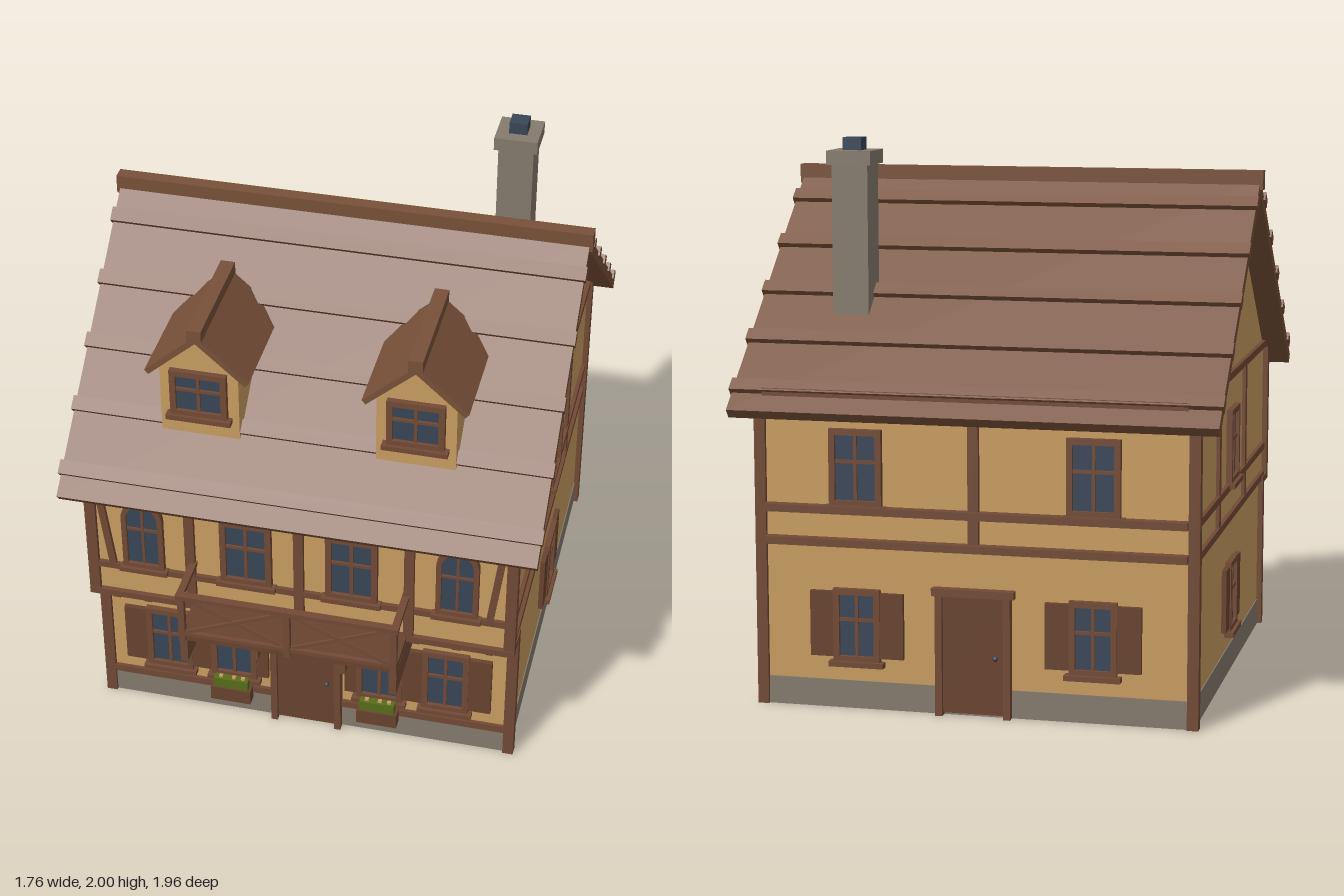
import * as THREE from 'three';

const mat = (name, color, side = THREE.FrontSide) => {
  const m = new THREE.MeshStandardMaterial({ color, side });
  m.name = name;
  return m;
};

export function createModel() {
  const M = {
    plaster: mat('plaster', 0xc89d60),
    timber: mat('timber', 0x724a35),
    roof: mat('roof wood', 0x785039),
    panel: mat('panel wood', 0x69432f),
    stone: mat('stone', 0x857b6d),
    glass: mat('slate glass', 0x394657),
    leaf: mat('leaf', 0x586c1c),
  };
  const root = new THREE.Group();
  root.name = 'house';

  const mesh = (parent, name, geo, m) => {
    const o = new THREE.Mesh(geo, m);
    o.name = name;
    parent.add(o);
    return o;
  };
  // box given by its min and max on every axis
  const box = (p, name, m, x0, x1, y0, y1, z0, z1) => {
    const o = mesh(p, name, new THREE.BoxGeometry(x1 - x0, y1 - y0, z1 - z0), m);
    o.position.set((x0 + x1) / 2, (y0 + y1) / 2, (z0 + z1) / 2);
    return o;
  };
  // slanted timber in a plane facing z
  const bar = (p, name, m, ax, ay, bx, by, w, z0, z1) => {
    const o = box(p, name, m, 0, Math.hypot(bx - ax, by - ay), -w / 2, w / 2, z0, z1);
    o.position.set((ax + bx) / 2, (ay + by) / 2, (z0 + z1) / 2);
    o.rotation.z = Math.atan2(by - ay, bx - ax);
    return o;
  };
  const group = (name, x, y, z, ry = 0, parent = root) => {
    const g = new THREE.Group();
    g.name = name;
    g.position.set(x, y, z);
    g.rotation.y = ry;
    parent.add(g);
    return g;
  };
  const poly = (pts) => new THREE.Shape(pts.map(([x, y]) => new THREE.Vector2(x, y)));
  const extrude = (shape, depth) => new THREE.ExtrudeGeometry(shape, { depth, bevelEnabled: false, curveSegments: 8 });

  // window with frame, glazing bars, sill and optional shutters [left width, right width]
  const windowAt = (x, y, z, ry, w, h, shutters, parent = root) => {
    const g = group('window', x, y, z, ry, parent), t = 0.022, a = w / 2;
    box(g, 'glass', M.glass, -a + t, a - t, t, h - t, 0, 0.008);
    for (const s of [-1, 1]) {
      const c = s * (a - t / 2);
      box(g, 'frameSide', M.timber, c - t / 2, c + t / 2, 0, h, 0, 0.022);
    }
    box(g, 'frameTop', M.timber, -a, a, h - t, h, 0, 0.022);
    box(g, 'frameBottom', M.timber, -a, a, 0, t, 0, 0.022);
    box(g, 'mullion', M.timber, -0.006, 0.006, t, h - t, 0, 0.016);
    box(g, 'glazingBar', M.timber, -a + t, a - t, h * 0.58 - 0.006, h * 0.58 + 0.006, 0, 0.016);
    box(g, 'sill', M.timber, -a - 0.015, a + 0.015, -0.015, 0.004, 0, 0.035);
    if (shutters) {
      box(g, 'shutter', M.panel, -a - shutters[0], -a, 0.018, h - 0.012, 0, 0.018);
      box(g, 'shutter', M.panel, a, a + shutters[1], 0.018, h - 0.012, 0, 0.018);
    }
    return g;
  };

  const archShape = (a, top, bottom) => {
    const s = new THREE.Shape();
    s.moveTo(-a, bottom);
    s.lineTo(a, bottom);
    s.lineTo(a, top - a);
    s.absarc(0, top - a, a, 0, Math.PI, false);
    s.closePath();
    return s;
  };
  const archWindow = (x, y, z) => {
    const g = group('archedWindow', x, y, z), frame = archShape(0.077, 0.305, 0);
    frame.holes.push(archShape(0.058, 0.285, 0.02));
    mesh(g, 'frame', extrude(frame, 0.022), M.timber);
    mesh(g, 'glass', extrude(archShape(0.058, 0.285, 0.02), 0.008), M.glass);
    box(g, 'mullion', M.timber, -0.005, 0.005, 0.02, 0.285, 0, 0.014);
    box(g, 'glazingBar', M.timber, -0.058, 0.058, 0.17, 0.181, 0, 0.014);
    box(g, 'sill', M.timber, -0.09, 0.09, -0.015, 0.004, 0, 0.035);
  };

  const door = (z, ry) => {
    const g = group('door', 0, 0, z, ry);
    box(g, 'doorLeaf', M.panel, -0.11, 0.11, 0.01, 0.43, 0, 0.018);
    for (const s of [-1, 1]) box(g, 'doorPost', M.timber, s * 0.1225 - 0.0125, s * 0.1225 + 0.0125, 0, 0.435, 0, 0.035);
    box(g, 'lintel', M.timber, -0.148, 0.148, 0.43, 0.457, 0, 0.035);
    const knob = mesh(g, 'knob', new THREE.SphereGeometry(0.01, 8, 6), M.glass);
    knob.position.set(0.08, 0.215, 0.024);
  };

  // lower storey shell, open underneath
  const X = 0.775, ZL = 0.68, ZU = 0.775, ZB = -0.88, T = 0.04;
  for (const s of [-1, 1]) {
    box(root, 'sideWall', M.plaster, s * (X - T / 2) - T / 2, s * (X - T / 2) + T / 2, 0, 0.6, ZB, ZL);
    box(root, 'sidePlinth', M.stone, s * X - 0.004, s * X + 0.004, 0, 0.1, ZB, ZL);
  }
  box(root, 'frontWall', M.plaster, -X + T, X - T, 0, 0.6, ZL - T, ZL);
  box(root, 'backWall', M.plaster, -X + T, X - T, 0, 0.6, ZB, ZB + T);
  for (const z of [ZL, ZB]) box(root, 'plinth', M.stone, -X, X, 0, 0.1, z - 0.004, z + 0.004);
  box(root, 'floor', M.stone, -X + T, X - T, 0.12, 0.14, ZB + T, ZL - T);

  // upper storey and gables as one section along x
  const upper = extrude(poly([[ZB, 0.59], [ZU, 0.59], [ZU, 1.11], [-0.055, 1.8], [ZB, 1.11]]), 2 * X);
  upper.translate(0, 0, -X);
  upper.rotateY(-Math.PI / 2);
  mesh(root, 'upperStorey', upper, M.plaster);

  // timber frame: corners and sides
  for (const s of [-1, 1]) {
    const post = (y0, y1, z0, z1) => box(root, 'cornerPost', M.timber, s * 0.775 - 0.02, s * 0.775 + 0.02, y0, y1, z0, z1);
    post(0, 0.6, 0.655, 0.695);
    post(0.575, 1.12, 0.75, 0.792);
    post(0, 1.12, -0.895, -0.855);
    for (const y of [0.588, 0.705, 1.117]) box(root, 'sideBeam', M.timber, s * X - 0.015, s * X + 0.015, y, y + 0.027, -0.83, 0.725);
    for (const z of [0.209, -0.411]) box(root, 'sidePost', M.timber, s * X - 0.013, s * X + 0.013, 0.6, 1.13, z - 0.019, z + 0.019);
    windowAt(s * X, 0.73, -0.1, s * Math.PI / 2, 0.19, 0.275);
    windowAt(s * X, 0.17, -0.1, s * Math.PI / 2, 0.17, 0.265, [0.085, 0.085]);
  }

  // back
  for (const y of [0.588, 0.705, 1.117]) box(root, 'backBeam', M.timber, -0.755, 0.755, y, y + 0.027, -0.92, ZB);
  box(root, 'backPost', M.timber, -0.019, 0.019, 0.6, 1.13, -0.9, ZB);
  door(ZB, Math.PI);
  for (const s of [-1, 1]) {
    windowAt(s * 0.425, 0.73, ZB, Math.PI, 0.19, 0.275);
    windowAt(s * 0.425, 0.17, ZB, Math.PI, 0.17, 0.265, [0.085, 0.085]);
  }

  // front
  door(ZL, 0);
  box(root, 'jettyBeam', M.timber, -0.795, 0.795, 0.575, 0.6, 0.67, 0.795);
  box(root, 'frontRail', M.timber, -0.755, 0.755, 0.705, 0.73, ZU, 0.79);
  box(root, 'wallPlate', M.timber, -0.755, 0.755, 1.06, 1.1, ZU, 0.79);
  for (const x of [-0.405, 0, 0.405]) box(root, 'frontPost', M.timber, x - 0.018, x + 0.018, 0.6, 1.1, ZU, 0.793);
  for (const s of [-1, 1]) {
    box(root, 'groundBeam', M.timber, s * 0.445 - 0.31, s * 0.445 + 0.31, 0.1, 0.13, ZL, 0.693);
    for (const x of [0.14, 0.27, 0.43, 0.58, 0.7]) box(root, 'joistEnd', M.timber, s * x - 0.014, s * x + 0.014, 0.553, 0.576, ZL, 0.775);
    bar(root, 'brace', M.timber, s * 0.7, 0.73, s * 0.742, 1.06, 0.026, ZU, 0.79);
    archWindow(s * 0.58, 0.73, ZU);
    windowAt(s * 0.195, 0.73, ZU, 0, 0.19, 0.28);
    windowAt(s * 0.53, 0.172, ZL, 0, 0.175, 0.28, s > 0 ? [0.075, 0.085] : [0.085, 0.075]);
    windowAt(s * 0.28, 0.172, ZL, 0, 0.175, 0.28, s > 0 ? [0.045, 0] .map((v) => v || 0.01) : [0.01, 0.045]);

    // flower box
    const f = group('flowerBox', s * 0.282, 0, 0);
    box(f, 'planter', M.panel, -0.077, 0.077, 0.095, 0.155, 0.712, 0.755);
    box(f, 'plants', M.leaf, -0.066, 0.066, 0.155, 0.197, 0.719, 0.749);
    for (const x of [-0.04, 0.01, 0.045]) box(f, 'blossom', M.plaster, x - 0.007, x + 0.007, 0.193, 0.205, 0.727, 0.741);

    // door canopy
    bar(root, 'canopyRoof', M.panel, s * 0.195, 0.452, 0, 0.568, 0.024, ZL, 0.82);
    box(root, 'canopyBracket', M.timber, s * 0.165 - 0.012, s * 0.165 + 0.012, 0.385, 0.46, ZL, 0.815);
  }
  box(root, 'canopyKingPost', M.timber, -0.014, 0.014, 0.455, 0.56, 0.69, 0.815);

  // balcony
  const b = group('balcony', 0, 0, 0);
  box(b, 'deck', M.panel, -0.4, 0.4, 0.575, 0.6, ZU, 0.968);
  box(b, 'topRail', M.timber, -0.408, 0.408, 0.772, 0.79, 0.952, 0.98);
  box(b, 'bottomRail', M.timber, -0.4, 0.4, 0.6, 0.615, 0.957, 0.973);
  for (const x of [-0.39, 0, 0.39]) box(b, 'railPost', M.timber, x - 0.012, x + 0.012, 0.575, 0.775, 0.953, 0.975);
  for (const s of [-1, 1]) {
    box(b, 'sideRail', M.timber, s * 0.394 - 0.013, s * 0.394 + 0.013, 0.772, 0.79, ZU, 0.953);
    box(b, 'bracket', M.timber, s * 0.387 - 0.014, s * 0.387 + 0.014, 0.47, 0.576, ZL, 0.966);
    bar(b, 'crossBrace', M.timber, s * 0.015, 0.612, s * 0.38, 0.77, 0.015, 0.958, 0.966);
    bar(b, 'crossBrace', M.timber, s * 0.015, 0.77, s * 0.38, 0.612, 0.015, 0.963, 0.971);
  }

  // main roof, two slopes with raised battens
  const pitch = Math.atan2(0.77, 0.92), slope = Math.hypot(0.77, 0.92);
  for (const ry of [0, Math.PI]) {
    const side = group('roofSide', 0, 1.84, -0.055, ry);
    const g = group('roofSlope', 0, 0, 0, 0, side);
    g.rotation.x = pitch;
    box(g, 'roofSlab', M.roof, -0.868, 0.868, -0.04, 0, 0, slope);
    for (const d of [0.105, 0.288, 0.472, 0.655, 0.838]) {
      const c = d / Math.cos(pitch);
      box(g, 'roofBatten', M.roof, -0.875, 0.875, -0.015, 0.02, c - 0.026, c + 0.026);
    }
  }
  box(root, 'ridgeBeam', M.roof, -0.88, 0.88, 1.8, 1.87, -0.08, -0.03);

  // dormers
  for (const s of [-1, 1]) {
    const d = group('dormer', s * 0.39, 0, 0);
    const body = mesh(d, 'dormerWalls', extrude(poly([[-0.143, 1.265], [0.143, 1.265], [0.143, 1.55], [0, 1.68], [-0.143, 1.55]]), 0.4), M.plaster);
    body.position.z = 0.235;
    for (const k of [-1, 1]) {
      const pts = [[0, 1.705], [0, 1.675], [k * 0.175, 1.519], [k * 0.189, 1.535]];
      mesh(d, 'dormerRoof', extrude(poly(k > 0 ? pts.reverse() : pts), 0.445), M.roof).position.z = 0.22;
    }
    box(d, 'dormerRidge', M.roof, -0.026, 0.026, 1.69, 1.735, 0.225, 0.675);
    windowAt(0, 1.35, 0.635, 0, 0.207, 0.19, null, d);
  }

  // chimney
  const c = group('chimney', 0.52, 0, -0.55);
  box(c, 'shaft', M.stone, -0.066, 0.066, 1.15, 1.91, -0.066, 0.066);
  box(c, 'cap', M.stone, -0.081, 0.081, 1.905, 1.955, -0.081, 0.081);
  box(c, 'flue', M.glass, -0.034, 0.034, 1.955, 2, -0.034, 0.034);

  return root;
}
